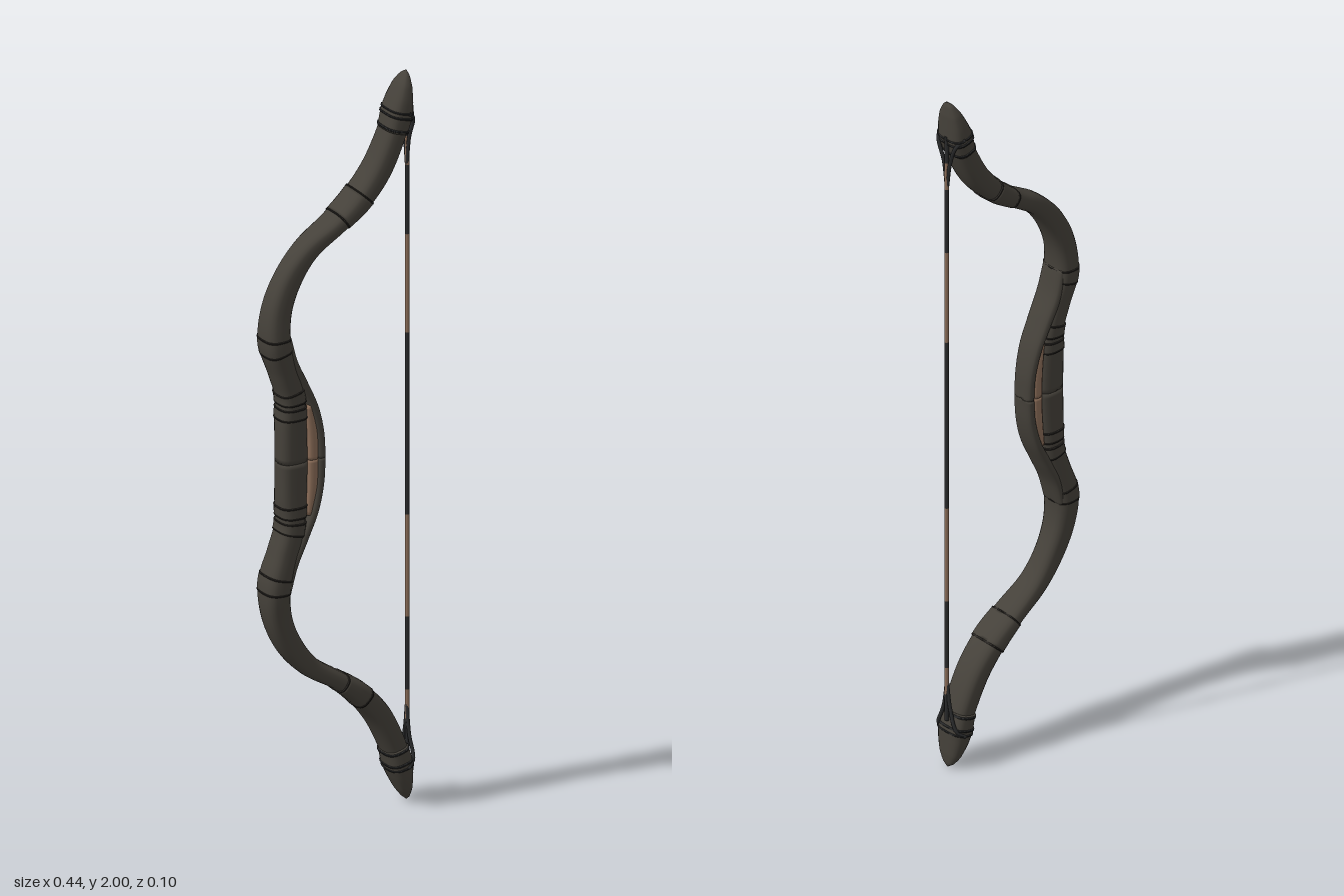
import * as THREE from 'three';

const mat = (name, color) => {
  const m = new THREE.MeshStandardMaterial({ color });
  m.name = name;
  return m;
};

// Sweeps a rounded-box section along stations [x, y, halfThickness, halfWidth].
// from/to are station indices; grow enlarges the section (for wraps).
function sweep(stations, { from = 0, to = stations.length - 1, grow = 1, rings = 48, sides = 20 } = {}) {
  const path = new THREE.CatmullRomCurve3(stations.map(s => new THREE.Vector3(s[0], s[1], 0)));
  const size = new THREE.CatmullRomCurve3(stations.map(s => new THREE.Vector3(s[2], s[3], 0)));
  const soft = v => Math.sign(v) * Math.pow(Math.abs(v), 0.7);
  const pos = [], index = [], n = stations.length - 1;
  for (let i = 0; i <= rings; i++) {
    const t = (from + (to - from) * i / rings) / n;
    const c = path.getPoint(t), d = path.getTangent(t), h = size.getPoint(t);
    for (let j = 0; j < sides; j++) {
      const a = j / sides * Math.PI * 2;
      const u = soft(Math.cos(a)) * h.x * grow, w = soft(Math.sin(a)) * h.y * grow;
      pos.push(c.x + d.y * u, c.y - d.x * u, w);
      if (i === rings) continue;
      const p = i * sides + j, q = i * sides + (j + 1) % sides;
      index.push(p, p + sides, q, q, p + sides, q + sides);
    }
  }
  // End caps
  const last = rings * sides;
  for (let j = 1; j < sides - 1; j++) {
    index.push(0, j, j + 1, last, last + j + 1, last + j);
  }
  const g = new THREE.BufferGeometry();
  g.setAttribute('position', new THREE.Float32BufferAttribute(pos, 3));
  g.setIndex(index);
  g.computeVertexNormals();
  return g;
}

export function createModel() {
  const leather = mat('dark leather', 0x45413a);
  const seam = mat('dark seam', 0x2b2825);
  const cord = mat('dark cord', 0x2a2b2c);
  const wood = mat('tan wood', 0x8c6e59);

  const limb = [
    [-0.135, 0, 0.04, 0.035], [-0.137, 0.1, 0.038, 0.037], [-0.14, 0.18, 0.033, 0.04],
    [-0.16, 0.25, 0.034, 0.042], [-0.184, 0.33, 0.035, 0.047], [-0.178, 0.42, 0.034, 0.04],
    [-0.145, 0.5, 0.032, 0.036], [-0.09, 0.57, 0.027, 0.038], [-0.01, 0.625, 0.024, 0.044],
    [0.055, 0.675, 0.029, 0.046], [0.115, 0.745, 0.032, 0.044], [0.16, 0.835, 0.031, 0.042],
    [0.175, 0.88, 0.03, 0.041]];
  const belly = [
    [-0.058, 0, 0.013, 0.032], [-0.063, 0.07, 0.013, 0.033], [-0.08, 0.14, 0.013, 0.036],
    [-0.112, 0.21, 0.014, 0.038], [-0.145, 0.28, 0.014, 0.04], [-0.163, 0.35, 0.013, 0.038]];
  const core = [[-0.083, 0, 0.018, 0.031], [-0.085, 0.07, 0.017, 0.031], [-0.097, 0.15, 0.01, 0.03]];
  const nock = [
    [0.165, 0.845, 0.032, 0.044], [0.177, 0.89, 0.034, 0.046], [0.185, 0.925, 0.028, 0.043],
    [0.195, 0.965, 0.018, 0.032], [0.202, 0.99, 0.008, 0.016], [0.205, 1.0, 0.001, 0.002]];

  const model = new THREE.Group();
  model.name = 'bow';

  const add = (parent, name, geometry, material) => {
    const m = new THREE.Mesh(geometry, material);
    m.name = name;
    parent.add(m);
    return m;
  };

  // One half from the grip centre to the tip, turned over for the other half
  for (const side of ['upper', 'lower']) {
    const half = new THREE.Group();
    half.name = side + 'Half';
    half.position.y = 1;
    if (side === 'lower') half.rotation.x = Math.PI;
    model.add(half);

    add(half, 'limb', sweep(limb, { rings: 90 }), leather);
    add(half, 'bellyStrip', sweep(belly), leather);
    add(half, 'gripCore', sweep(core, { rings: 16 }), wood);
    add(half, 'nockCap', sweep(nock, { rings: 30 }), leather);

    // Leather wraps with a dark seam at each edge
    for (const [from, to, grow] of [[1.25, 1.6, 1.06], [1.8, 2.2, 1.07], [3.75, 4.2, 1.03], [8.2, 9.2, 1.07]]) {
      add(half, 'wrap', sweep(limb, { from, to, grow, rings: 10 }), leather);
      for (const e of [from, to]) {
        add(half, 'wrapSeam', sweep(limb, { from: e - 0.025, to: e + 0.025, grow: grow + 0.01, rings: 2 }), seam);
      }
    }
    // Cord lashing round the nock
    for (const e of [0.15, 0.9, 1.25]) {
      add(half, 'nockLashing', sweep(nock, { from: e - 0.06, to: e + 0.06, grow: 1.06, rings: 2 }), cord);
    }
    // String loop splitting round the nock
    for (const s of [-1, 1]) {
      const loop = new THREE.CatmullRomCurve3([
        new THREE.Vector3(0.207, 0.74, 0), new THREE.Vector3(0.207, 0.82, 0.012 * s),
        new THREE.Vector3(0.206, 0.88, 0.034 * s), new THREE.Vector3(0.185, 0.9, 0.046 * s)]);
      add(half, 'stringLoop', new THREE.TubeGeometry(loop, 20, 0.005, 8), cord);
    }
  }

  // Bowstring in dark and tan lengths
  const cuts = [0.14, 0.22, 0.3, 0.5, 0.78, 1.28, 1.55, 1.74, 1.82, 1.9];
  for (let i = 0; i < cuts.length - 1; i++) {
    const len = cuts[i + 1] - cuts[i];
    const s = add(model, 'bowstring', new THREE.CylinderGeometry(0.006, 0.006, len, 10), i % 2 ? wood : cord);
    s.position.set(0.208, cuts[i] + len / 2, 0);
  }
  return model;
}
